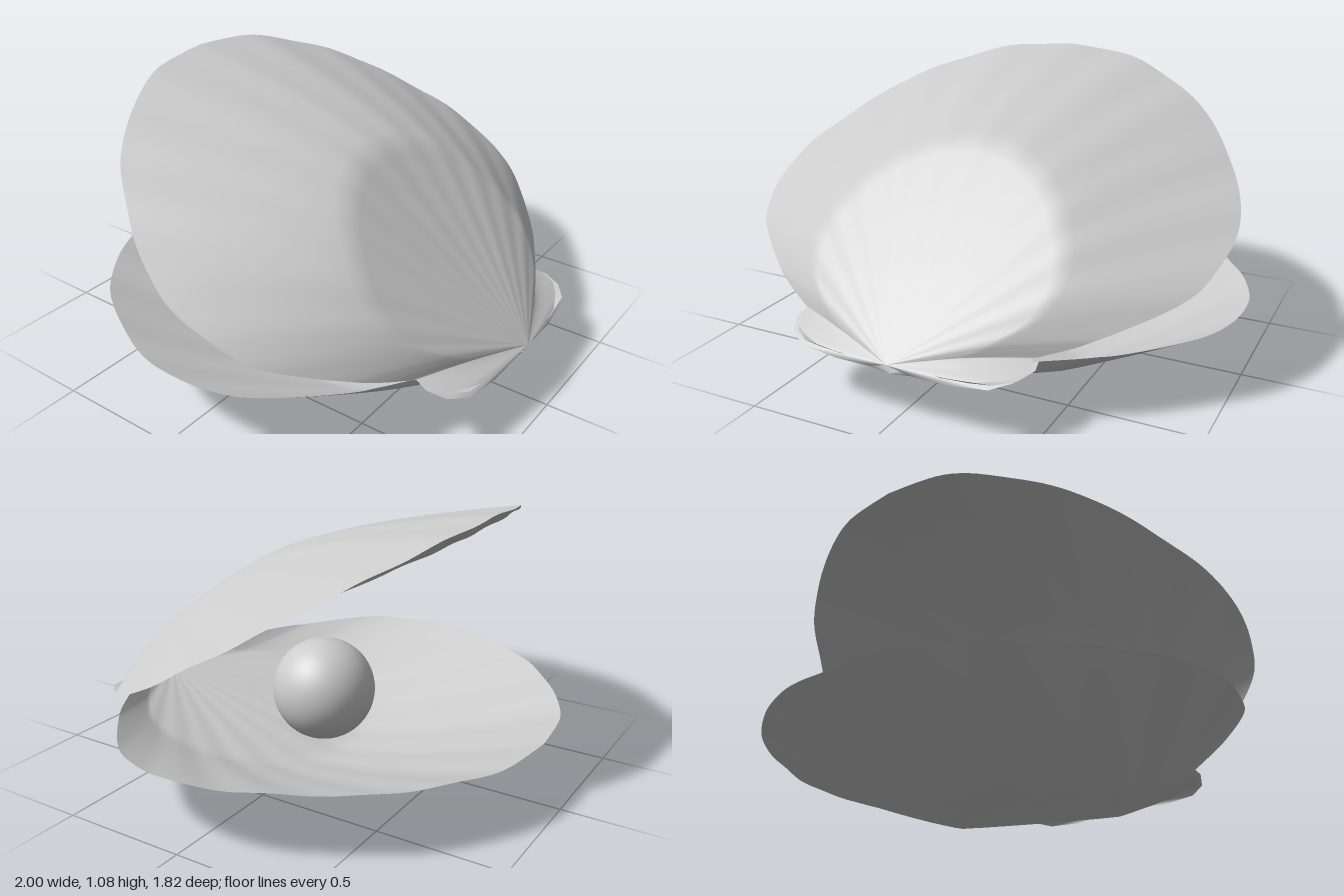
import * as THREE from 'three';

// Half outline of a valve, from the middle of the far edge round to the ear: [half width, distance from hinge]
const EDGE = [[0, 1.8], [0.26, 1.77], [0.5, 1.65], [0.72, 1.47], [0.87, 1.25], [0.96, 1.07],
  [1, 0.89], [0.975, 0.7], [0.9, 0.54], [0.67, 0.32], [0.47, 0.19]];
const EAR = [[0.48, 0.14], [0.45, 0.07], [0.38, 0.02], [0.22, 0], [0.08, 0]];

function halfOutline() {
  const curve = new THREE.SplineCurve(EDGE.map(([x, d]) => new THREE.Vector2(x, d)));
  return [...curve.getPoints(80), ...EAR.map(([x, d]) => new THREE.Vector2(x, d))];
}

// Rise of the cone from hinge to its deepest line, then a soft curve to the rim
const profile = s => (s < 0.5 ? 2 * s : 1 - Math.pow((s - 0.5) * 2, 1.4));

// A valve: rays fan out from the hinge at the origin towards -z, hollow side facing +y
function valveGeometry() {
  const half = halfOutline();
  const left = half.slice(1).reverse().map(p => new THREE.Vector2(-p.x * 0.965, p.y));
  const outline = [...left, ...half];
  const rows = 32, pos = [], index = [];
  outline.forEach((p, i) => {
    const angle = Math.atan2(Math.abs(p.x), p.y);
    const bulge = 0.22 * Math.max(0, Math.cos(1.3 * angle));
    const fan = angle < 1.13 ? 1 : 0;
    for (let j = 0; j <= rows; j++) {
      const s = j / rows;
      const rib = 0.003 * fan * s * Math.cos(angle * 34);
      const lift = 0.045 * s * s * Math.pow(Math.sin(Math.min(angle * 1.8, Math.PI)), 2);
      const depth = 0.03 * (1 - s) + bulge * profile(s) + rib - lift;
      pos.push(p.x * s, -depth, -p.y * s);
      if (i && j) {
        const a = (i - 1) * (rows + 1) + j - 1, b = a + rows + 1;
        index.push(a, a + 1, b, b, a + 1, b + 1);
      }
    }
  });
  const geo = new THREE.BufferGeometry();
  geo.setAttribute('position', new THREE.Float32BufferAttribute(pos, 3));
  geo.setIndex(index);
  geo.computeVertexNormals();
  return geo;
}

export function createModel() {
  const model = new THREE.Group();
  model.name = 'openClam';
  const shellMaterial = new THREE.MeshStandardMaterial({ color: 0xcccccc, side: THREE.DoubleSide });
  const geo = valveGeometry();

  // Lower valve, nearly level
  const lower = new THREE.Mesh(geo, shellMaterial);
  lower.name = 'lowerShell';
  lower.position.set(0, 0.225, 0.88);
  lower.rotation.x = 0.017;

  // Upper valve: the same form turned over and swung open
  const upper = new THREE.Mesh(geo, shellMaterial);
  upper.name = 'upperShell';
  upper.position.set(0, 0.21, 0.885);
  upper.rotation.set(0.505, 0, Math.PI);

  // Pearl
  const pearl = new THREE.Mesh(new THREE.SphereGeometry(0.212, 48, 32),
    new THREE.MeshStandardMaterial({ color: 0xcccccc }));
  pearl.name = 'pearl';
  pearl.position.set(0, 0.262, 0.045);

  model.add(lower, upper, pearl);
  return model;
}
